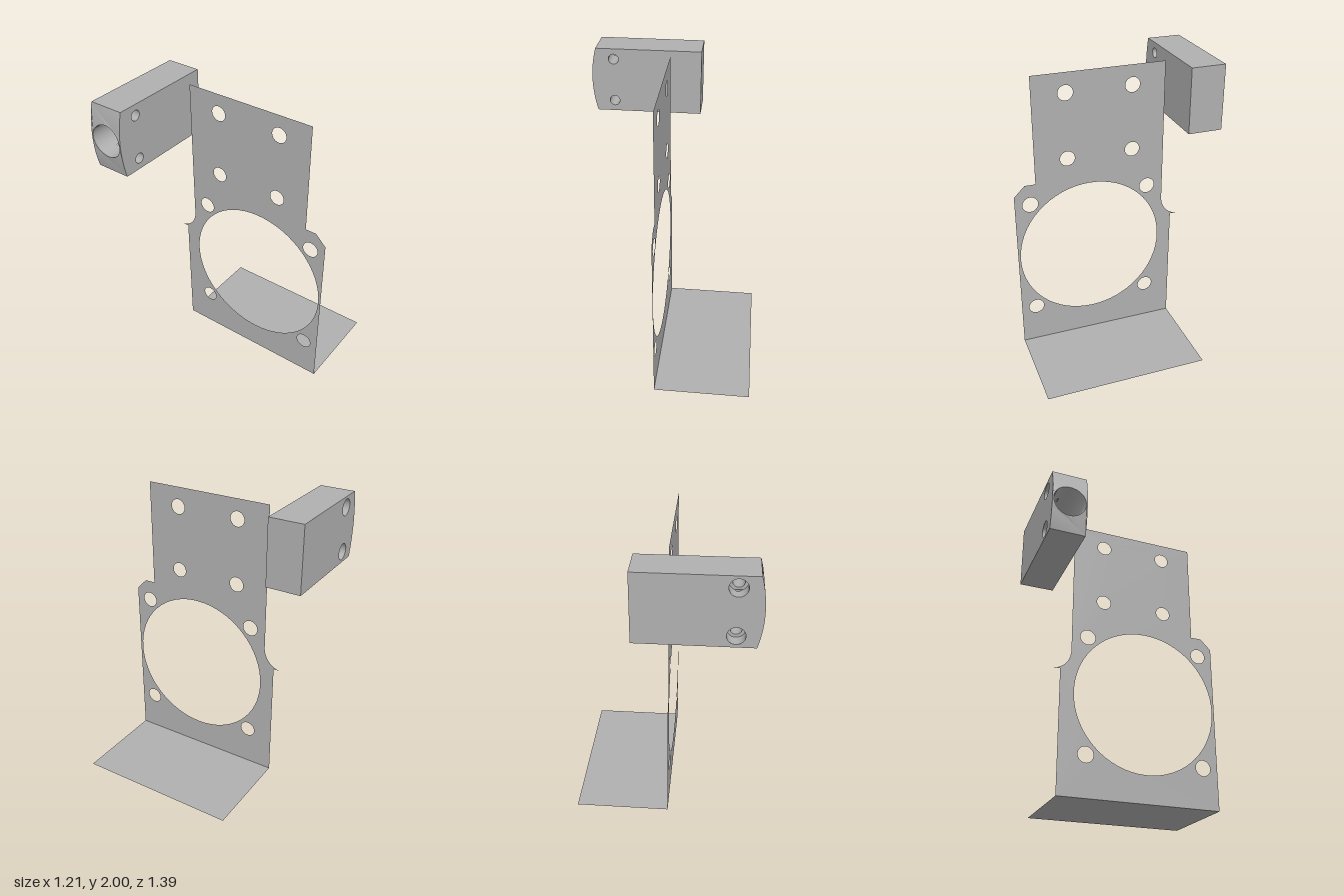
import * as THREE from 'three';

const X0 = -0.577, X1 = 0.15, Y0 = 1.55, Y1 = 2, Z0 = -0.695, Z1 = -0.457; // block extents
const YC = (Y0 + Y1) / 2, ZC = (Z0 + Z1) / 2, H = (Y1 - Y0) / 2, BULGE = 0.031;
const R = (H * H + BULGE * BULGE) / (2 * BULGE);
const BORE = 0.11, BORE_END = -0.3, STEP = Z0 + 0.08;
const HOLE_X = -0.455, HOLE_YS = [1.927, 1.625], SMALL = 0.035, LARGE = 0.055;

// x of the rounded block end at height y
const endX = (y) => X0 - BULGE + R - Math.sqrt(R * R - (y - YC) ** 2);

function circleHole(shape, x, y, r) {
  shape.holes.push(new THREE.Path().absarc(x, y, r, 0, Math.PI * 2, true));
}

// Remove the triangles whose centre lies inside another cut
function cull(geometry, inside) {
  const g = geometry.toNonIndexed(), p = g.attributes.position, keep = [];
  for (let i = 0; i < p.count; i += 3) {
    const c = new THREE.Vector3();
    for (let k = 0; k < 3; k++) c.add(new THREE.Vector3().fromBufferAttribute(p, i + k));
    if (!inside(c.divideScalar(3))) keep.push(i, i + 1, i + 2);
  }
  g.setIndex(keep);
  return g;
}

export function createModel() {
  const grey = new THREE.MeshStandardMaterial({ color: 0xb0b0b0, side: THREE.DoubleSide });
  grey.name = 'grey metal';
  const model = new THREE.Group();
  model.name = 'bracket assembly';
  const bracket = new THREE.Group(), block = new THREE.Group();
  bracket.name = 'bracket';
  block.name = 'clampBlock';
  model.add(bracket, block);
  const add = (parent, name, geometry) => {
    const mesh = new THREE.Mesh(geometry, grey);
    mesh.name = name;
    parent.add(mesh);
    return mesh;
  };

  // Upright sheet, drawn in (z, y)
  const sheet = new THREE.Shape();
  sheet.moveTo(0.695, 0);
  sheet.lineTo(0.695, 1.185);
  sheet.lineTo(0.62, 1.26);
  sheet.lineTo(0.545, 1.26);
  sheet.lineTo(0.545, 2);
  sheet.lineTo(-0.363, 2);
  sheet.lineTo(-0.363, 1);
  sheet.absellipse(-0.493, 1, 0.13, 0.147, 0, -Math.PI / 2, true, 0);
  sheet.lineTo(-0.437, 0.853);
  sheet.lineTo(-0.437, 0);
  circleHole(sheet, 0.17, 0.7, 0.508);
  for (const z of [0.588, -0.248]) for (const y of [1.115, 0.283]) circleHole(sheet, z, y, 0.054);
  for (const z of [0.32, -0.135]) for (const y of [1.865, 1.411]) circleHole(sheet, z, y, 0.051);
  add(bracket, 'uprightSheet', new THREE.ShapeGeometry(sheet, 32).rotateY(-Math.PI / 2).translate(-0.05, 0, 0));

  // Bottom flange
  add(bracket, 'bottomFlange', new THREE.PlaneGeometry(0.65, 1.132).rotateX(-Math.PI / 2).translate(0.275, 0, 0.129));

  // Block front and back, each with two screw holes
  const blockFace = (radius) => {
    const s = new THREE.Shape();
    s.moveTo(X1, Y0);
    s.lineTo(X1, Y1);
    for (let i = 0; i <= 24; i++) {
      const y = Y1 - (i / 24) * (Y1 - Y0);
      s.lineTo(endX(y), y);
    }
    for (const y of HOLE_YS) circleHole(s, HOLE_X, y, radius);
    return new THREE.ShapeGeometry(s, 20);
  };
  add(block, 'blockFront', blockFace(SMALL).translate(0, 0, Z1));
  const back = blockFace(LARGE).translate(0, 0, Z0);
  const idx = back.index.array;
  for (let i = 0; i < idx.length; i += 3) [idx[i], idx[i + 1]] = [idx[i + 1], idx[i]];
  back.computeVertexNormals();
  add(block, 'blockBack', back);

  // Block top, bottom and flat end
  const w = X1 - X0, d = Z1 - Z0;
  add(block, 'blockTop', new THREE.PlaneGeometry(w, d).rotateX(-Math.PI / 2).translate((X0 + X1) / 2, Y1, ZC));
  add(block, 'blockBottom', new THREE.PlaneGeometry(w, d).rotateX(Math.PI / 2).translate((X0 + X1) / 2, Y0, ZC));
  add(block, 'blockFlatEnd', new THREE.PlaneGeometry(d, Y1 - Y0).rotateY(Math.PI / 2).translate(X1, YC, ZC));

  // Rounded end with the bore opening, drawn in (z, y) and bent onto the arc
  const end = new THREE.Shape();
  for (let i = 0; i <= 24; i++) end.lineTo(Z1, Y0 + (i / 24) * (Y1 - Y0));
  for (let i = 0; i <= 24; i++) end.lineTo(Z0, Y1 - (i / 24) * (Y1 - Y0));
  end.curves.shift();
  circleHole(end, ZC, YC, BORE);
  const endGeo = new THREE.ShapeGeometry(end, 24).rotateY(-Math.PI / 2);
  const ep = endGeo.attributes.position;
  for (let i = 0; i < ep.count; i++) ep.setX(i, endX(ep.getY(i)));
  endGeo.computeVertexNormals();
  add(block, 'blockRoundedEnd', endGeo);

  // Blind bore, its mouth following the rounded end
  const inScrewHole = (p) => HOLE_YS.some((y) =>
    Math.hypot(p.x - HOLE_X, p.y - y) < (p.z < STEP ? LARGE : SMALL));
  const inBore = (p) => p.x < BORE_END && Math.hypot(p.y - YC, p.z - ZC) < BORE;
  const bore = new THREE.CylinderGeometry(BORE, BORE, 1, 64, 40, true).rotateZ(Math.PI / 2);
  const bp = bore.attributes.position;
  for (let i = 0; i < bp.count; i++) {
    const y = bp.getY(i) + YC;
    bp.setXYZ(i, THREE.MathUtils.lerp(endX(y), BORE_END, bp.getX(i) + 0.5), y, bp.getZ(i) + ZC);
  }
  add(block, 'bore', cull(bore, inScrewHole));
  add(block, 'boreFloor', new THREE.CircleGeometry(BORE, 48).rotateY(-Math.PI / 2).translate(BORE_END, YC, ZC));

  // Counterbored screw holes
  const tube = (r, za, zb, y) => cull(new THREE.CylinderGeometry(r, r, zb - za, 48, 16, true)
    .rotateX(Math.PI / 2).translate(HOLE_X, y, (za + zb) / 2), inBore);
  for (const y of HOLE_YS) {
    add(block, 'screwHole', tube(SMALL, STEP, Z1, y));
    add(block, 'counterbore', tube(LARGE, Z0, STEP, y));
    add(block, 'counterboreStep', cull(new THREE.RingGeometry(SMALL, LARGE, 48, 4)
      .rotateY(Math.PI).translate(HOLE_X, y, STEP), inBore));
  }
  return model;
}
